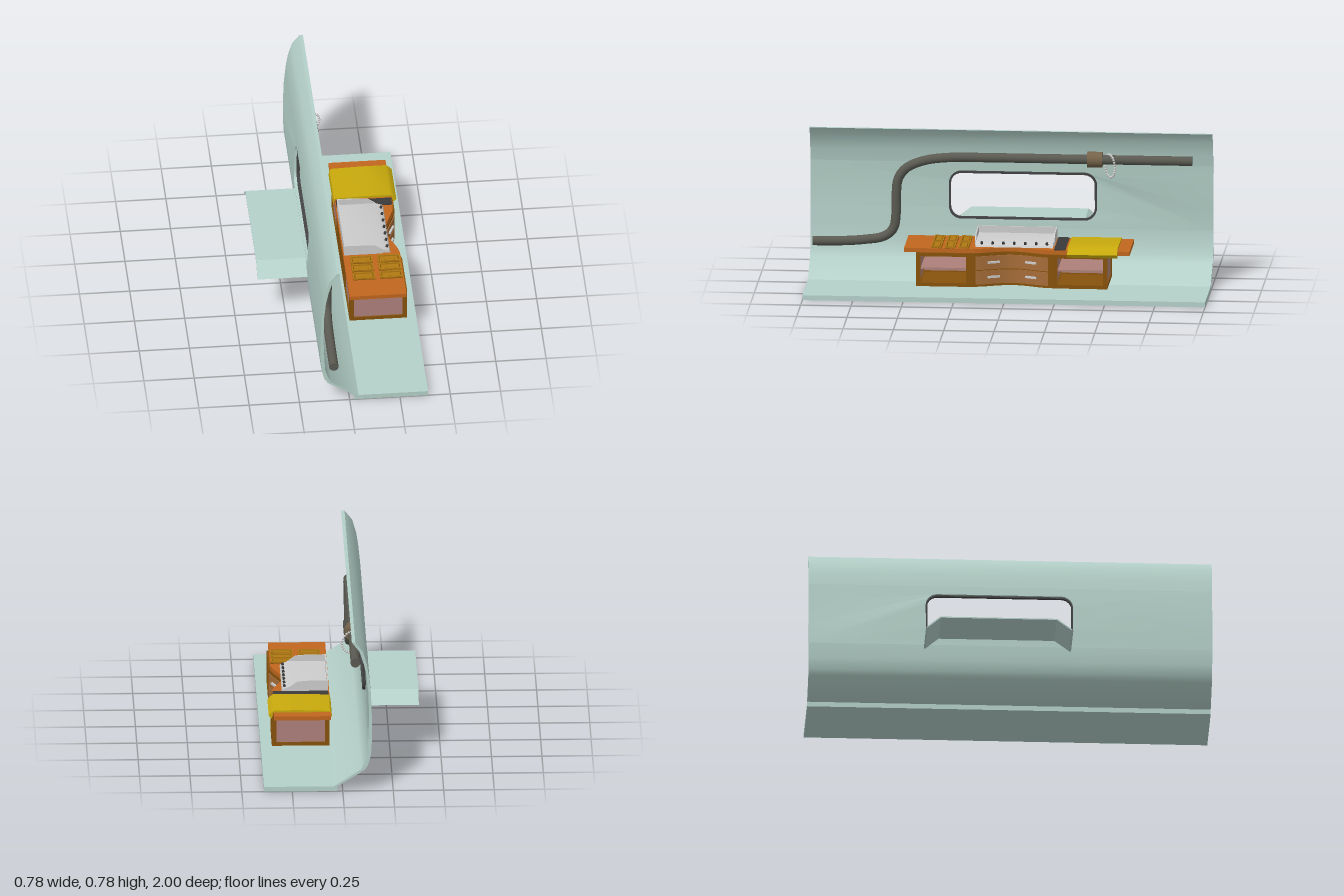
import * as THREE from 'three';
import { toCreasedNormals } from 'three/addons/utils/BufferGeometryUtils.js';

const V2 = (p) => new THREE.Vector2(p[0], p[1]);
const mat = (color) => new THREE.MeshStandardMaterial({ color, side: THREE.DoubleSide });
const M = {
  hull: mat(0xb4d0c8), pipe: mat(0x5a5a52), collar: mat(0x75634a), trim: mat(0x444444),
  top: mat(0xc0661e), wood: mat(0x87520c), drawer: mat(0xa56c38), pink: mat(0xad807a),
  grey: mat(0xcccccc), cloth: mat(0xc8a90c), bin: mat(0xb07812), dark: mat(0x3a3a3a),
};

export function createModel() {
  const root = new THREE.Group();
  const add = (name, geo, m, parent = root) => {
    const mesh = new THREE.Mesh(geo, m);
    mesh.name = name;
    parent.add(mesh);
    return mesh;
  };
  const group = (name) => {
    const g = new THREE.Group();
    g.name = name;
    root.add(g);
    return g;
  };
  // box given by its limits on each axis
  const box = (name, x0, x1, y0, y1, z0, z1, m, parent) =>
    add(name, new THREE.BoxGeometry(x1 - x0, y1 - y0, z1 - z0)
      .translate((x0 + x1) / 2, (y0 + y1) / 2, (z0 + z1) / 2), m, parent);
  // xy profile extruded from z0 to z1
  const alongZ = (pts, z0, z1) => toCreasedNormals(
    new THREE.ExtrudeGeometry(new THREE.Shape(pts.map(V2)), { depth: z1 - z0, bevelEnabled: false })
      .translate(0, 0, z0), 0.6);
  // plan outline of [x, z] points extruded upwards
  const alongY = (pts, y0, y1) => new THREE.ExtrudeGeometry(
    new THREE.Shape(pts.map(([x, z]) => new THREE.Vector2(x, -z))), { depth: y1 - y0, bevelEnabled: false })
    .rotateX(-Math.PI / 2).translate(0, y0, 0);

  // Curved side wall: rows of y, outer x, inner x
  const rows = [[0.27, -0.145, -0.126], [0.365, -0.145, -0.13], [0.5, -0.14, -0.128], [0.597, -0.13, -0.118],
    [0.66, -0.12, -0.105], [0.728, -0.1, -0.083], [0.777, -0.062, -0.045]];
  const wallX = (y, k) => {
    let i = 0;
    while (i < rows.length - 2 && y > rows[i + 1][0]) i++;
    const [a, b] = [rows[i], rows[i + 1]];
    return THREE.MathUtils.lerp(a[k], b[k], (y - a[0]) / (b[0] - a[0]));
  };
  const wall = group('sideWall');
  add('lowerWall', alongZ([[-0.145, 0.27], [-0.14, 0.19], [-0.125, 0.134], [-0.108, 0.109], [0.025, 0.025],
    [0.044, 0.025], [-0.091, 0.113], [-0.108, 0.145], [-0.122, 0.19], [-0.126, 0.27]], -1, 1), M.hull, wall);
  const up = rows.slice(3);
  add('upperWall', alongZ([...up.map((r) => [r[2], r[0]]), ...up.map((r) => [r[1], r[0]]).reverse()], -1, 1), M.hull, wall);

  // Window panel and frame are drawn flat, then bent to the wall
  const roundRect = (P, x0, x1, y0, y1, r) => {
    const p = new P();
    p.absarc(x1 - r, y1 - r, r, 0, Math.PI / 2);
    p.absarc(x0 + r, y1 - r, r, Math.PI / 2, Math.PI);
    p.absarc(x0 + r, y0 + r, r, Math.PI, Math.PI * 1.5);
    p.absarc(x1 - r, y0 + r, r, Math.PI * 1.5, Math.PI * 2);
    p.closePath();
    return p;
  };
  const bent = (shape, rule) => {
    const g = new THREE.ExtrudeGeometry(shape, { depth: 1, bevelEnabled: false, curveSegments: 10 });
    g.rotateY(Math.PI / 2);
    const p = g.attributes.position;
    for (let i = 0; i < p.count; i++) p.setX(i, rule(p.getY(i), p.getX(i)));
    return toCreasedNormals(g, 0.6);
  };
  const mid = rows.slice(0, 4).map((r) => r[0]);
  const panel = new THREE.Shape([...mid.map((y) => V2([1, y])), ...mid.map((y) => V2([-1, y])).reverse()]);
  panel.holes.push(roundRect(THREE.Path, -0.31, 0.42, 0.315, 0.552, 0.06));
  add('windowPanel', bent(panel, (y, t) => THREE.MathUtils.lerp(wallX(y, 1), wallX(y, 2), t)), M.hull, wall);
  const ring = roundRect(THREE.Shape, -0.312, 0.422, 0.312, 0.554, 0.062);
  ring.holes.push(roundRect(THREE.Path, -0.302, 0.412, 0.322, 0.544, 0.052));
  add('windowFrame', bent(ring, (y, t) => wallX(y, 2) - 0.002 + 0.016 * t), M.trim, wall);

  box('floor', 0.025, 0.39, 0, 0.025, -1, 1, M.hull);

  // Serving shelf outside the window: a bent sheet with sloping ends
  const sheet = [[-0.3, 0.25], [-0.22, 0.31], [0.36, 0.31], [0.43, 0.25], [0.421, 0.25], [0.357, 0.304], [-0.217, 0.304], [-0.29, 0.25]];
  add('servingShelf', new THREE.ExtrudeGeometry(new THREE.Shape(sheet.map(V2)), { depth: 0.252, bevelEnabled: false })
    .rotateY(Math.PI / 2).translate(-0.392, 0, 0), M.hull);

  // Pipe with collar and bead chain
  const pipe = group('pipe');
  const path = [[0.985, 0.195], [0.85, 0.197], [0.73, 0.206], [0.63, 0.225], [0.585, 0.265], [0.572, 0.33], [0.57, 0.44],
    [0.56, 0.52], [0.52, 0.575], [0.43, 0.615], [0.3, 0.633], [0.1, 0.635], [-0.4, 0.635], [-0.9, 0.635]];
  const curve = new THREE.CatmullRomCurve3(path.map(([z, y]) => new THREE.Vector3(-0.077 + (y - 0.195) * 0.027, y, z)));
  add('pipeTube', new THREE.TubeGeometry(curve, 90, 0.0235, 16), M.pipe, pipe);
  [[-0.077, 0.195, 0.985, 0], [-0.065, 0.635, -0.9, Math.PI]].forEach(([x, y, z, a]) =>
    add('pipeCap', new THREE.CircleGeometry(0.0235, 16).rotateY(a).translate(x, y, z), M.pipe, pipe));
  add('collar', new THREE.CylinderGeometry(0.039, 0.039, 0.075, 20).rotateX(Math.PI / 2)
    .translate(-0.065, 0.635, -0.417), M.collar, pipe);
  const bead = new THREE.SphereGeometry(0.0062, 10, 8);
  for (let i = 0; i < 26; i++) {
    const a = (i / 26) * Math.PI * 2;
    add('bead', bead, M.grey, pipe).position.set(
      -0.062 + 0.053 * Math.cos(a), 0.605 + 0.056 * Math.sin(a), -0.492 - 0.028 * Math.cos(a));
  }

  // Counter with a concave middle
  const counter = group('counter');
  const front = (z, d) => {
    const t = THREE.MathUtils.clamp((z + 0.24) / 0.41, 0, 1);
    return d - 0.0275 * (1 - Math.cos(2 * Math.PI * t));
  };
  const plan = (x0, d, z0, z1) => {
    const pts = [[x0, z1]];
    for (let i = 0; i <= 32; i++) {
      const z = z1 + ((z0 - z1) * i) / 32;
      pts.push([front(z, d), z]);
    }
    return [...pts, [x0, z0]];
  };
  add('worktop', alongY(plan(0.047, 0.33, -0.62, 0.5), 0.24, 0.261), M.top, counter);

  // Open end cabinets with framed panels and a shelf
  const [bx, fx, y0, y1, w] = [0.052, 0.338, 0.07, 0.24, 0.022];
  for (const [z0, z1] of [[-0.51, -0.24], [0.17, 0.44]]) {
    for (const x of [bx, fx - w]) {
      for (const z of [z0, z1 - w]) box('cabinetPost', x, x + w, y0, y1, z, z + w, M.wood, counter);
      for (const y of [y0, y1 - 0.018]) box('cabinetRail', x, x + w, y, y + 0.018, z0 + w, z1 - w, M.wood, counter);
    }
    for (const z of [z0, z1 - w]) {
      for (const y of [y0, y1 - 0.018]) box('sideRail', bx + w, fx - w, y, y + 0.018, z, z + w, M.wood, counter);
      box('sidePanel', bx + w, fx - w, y0 + 0.018, y1 - 0.018, z + 0.006, z + w - 0.006, M.pink, counter);
    }
    box('backPanel', bx + 0.006, bx + 0.014, y0 + 0.018, y1 - 0.018, z0 + w, z1 - w, M.pink, counter);
    box('cabinetBase', bx + w, fx - w, y0, y0 + 0.014, z0 + w, z1 - w, M.wood, counter);
    box('cabinetShelf', bx + w, fx - w, 0.152, 0.16, z0 + w, z1 - w, M.pink, counter);
  }
  add('drawerCabinet', alongY(plan(bx, 0.334, -0.24, 0.17), y0, y1), M.wood, counter);
  for (const y of [0.082, 0.156]) {
    add('drawerFront', alongY(plan(0.2, 0.339, -0.215, 0.145), y, y + 0.068), M.drawer, counter);
    for (const z of [0.057, -0.13]) {
      const h = box('drawerHandle', -0.006, 0.008, -0.005, 0.005, -0.03, 0.03, M.grey, counter);
      h.position.set(front(z, 0.341), y + 0.036, z);
      h.rotation.y = Math.atan2(front(z + 0.01, 0) - front(z - 0.01, 0), 0.02);
    }
  }

  // Griddle: plate with splash guards and knobs
  const grill = group('griddle');
  add('griddleBody', alongZ([[0.052, 0.261], [0.282, 0.261], [0.276, 0.271], [0.243, 0.284], [0.052, 0.284]], -0.235, 0.15), M.grey, grill);
  const guard = [[0.052, 0.261], [0.24, 0.261], [0.243, 0.284], [0.204, 0.312], [0.15, 0.316], [0.052, 0.317]];
  for (const z of [-0.24, 0.149]) add('sideGuard', alongZ(guard, z, z + 0.006), M.grey, grill);
  box('backGuard', 0.052, 0.058, 0.261, 0.317, -0.235, 0.15, M.grey, grill);
  for (let i = 0; i < 7; i++) {
    const k = add('knob', new THREE.CylinderGeometry(0.006, 0.007, 0.014, 10), M.dark, grill);
    k.position.set(0.268, 0.279, -0.205 + i * 0.054);
    k.rotation.z = -0.4;
  }

  // Dark strip and draped cloth
  box('darkStrip', 0.052, 0.328, 0.259, 0.265, -0.3, -0.245, M.dark);
  add('cloth', alongZ([[0.041, 0.23], [0.045, 0.262], [0.052, 0.268], [0.2, 0.273], [0.325, 0.273], [0.34, 0.263],
    [0.355, 0.246], [0.343, 0.229], [0.336, 0.24], [0.332, 0.2615], [0.048, 0.2615], [0.045, 0.24]], -0.56, -0.312), M.cloth);

  // Ingredient bins: open trays in two columns
  const bins = group('bins');
  for (const [x0, x1] of [[0.078, 0.188], [0.212, 0.325]]) {
    for (const zc of [0.205, 0.272, 0.34]) {
      const [z0, z1] = [zc - 0.026, zc + 0.026];
      box('binFloor', x0, x1, 0.26, 0.264, z0, z1, M.wood, bins);
      for (const x of [x0, x1 - 0.007]) box('binEnd', x, x + 0.007, 0.26, 0.272, z0, z1, M.bin, bins);
      for (const z of [z0, z1 - 0.007]) box('binSide', x0, x1, 0.26, 0.272, z, z + 0.007, M.bin, bins);
      box('binFood', x0 + 0.012, x1 - 0.012, 0.262, 0.269, zc - 0.014, zc + 0.014, M.bin, bins);
    }
  }
  return root;
}
